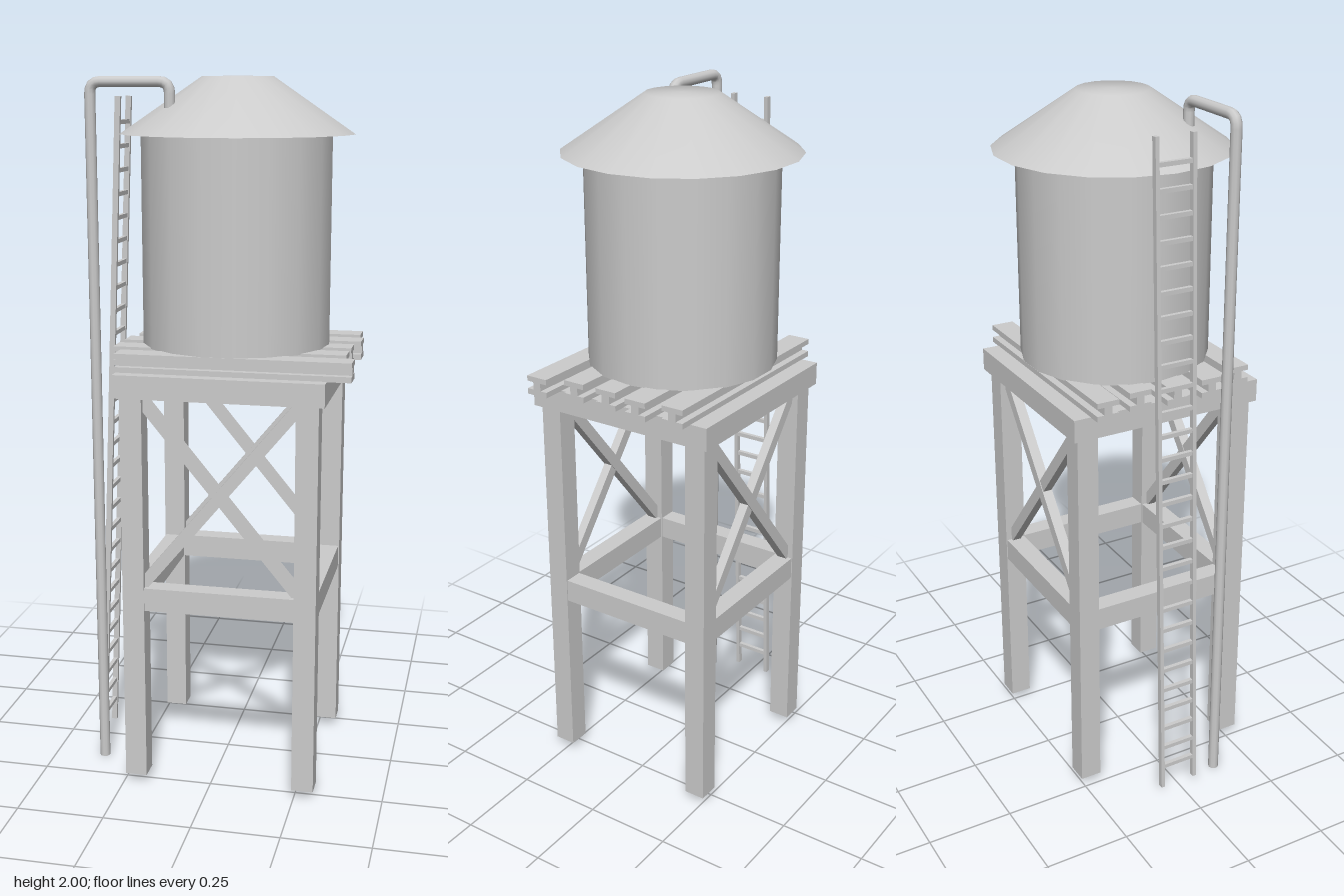
import * as THREE from 'three';

const grey = new THREE.MeshStandardMaterial({ color: 0xcccccc });
const greyDouble = new THREE.MeshStandardMaterial({ color: 0xcccccc, side: THREE.DoubleSide });

export function createModel() {
  const model = new THREE.Group();
  model.name = 'waterTower';

  const add = (name, geometry, material = grey, parent = model) => {
    const mesh = new THREE.Mesh(geometry, material);
    mesh.name = name;
    parent.add(mesh);
    return mesh;
  };
  // Box given by its extents on each axis
  const box = (name, x0, x1, y0, y1, z0, z1, parent) => {
    const mesh = add(name, new THREE.BoxGeometry(x1 - x0, y1 - y0, z1 - z0), grey, parent);
    mesh.position.set((x0 + x1) / 2, (y0 + y1) / 2, (z0 + z1) / 2);
    return mesh;
  };
  // Square bar leaning in the xy plane from a to b
  const bar = (name, a, b, z, width, depth, parent) => {
    const dx = b[0] - a[0], dy = b[1] - a[1];
    const mesh = add(name, new THREE.BoxGeometry(width, Math.hypot(dx, dy), depth), grey, parent);
    mesh.position.set((a[0] + b[0]) / 2, (a[1] + b[1]) / 2, z);
    mesh.rotation.z = -Math.atan2(dx, dy);
    return mesh;
  };

  // Tank
  const cx = 0.027, sides = 18;
  const tank = add('tank', new THREE.CylinderGeometry(0.266, 0.266, 0.58, sides));
  tank.position.set(cx - 0.002, 1.555, 0.002);
  tank.rotation.y = Math.PI / 2;

  // Roof: smooth cone with a flattened crown, closed underneath
  const profile = [[0.327, 1.845], [0.1, 1.998], [0, 2]].map(p => new THREE.Vector2(...p));
  const roof = add('roof', new THREE.LatheGeometry(profile, sides));
  roof.position.x = cx;
  roof.rotation.y = Math.PI / 2;
  const soffit = add('roofUnderside', new THREE.CircleGeometry(0.327, sides));
  soffit.position.set(cx, 1.845, 0);
  soffit.rotation.x = Math.PI / 2;

  // I-beams carrying the tank, unevenly laid: [z, start x, end x]
  const beams = [
    [-0.192, -0.295, 0.36], [-0.085, -0.278, 0.375], [0.022, -0.292, 0.36],
    [0.128, -0.295, 0.36], [0.233, -0.262, 0.388],
  ];
  for (const [z, x0, x1] of beams) {
    const beam = new THREE.Group();
    beam.name = 'platformBeam';
    model.add(beam);
    box('topFlange', x0, x1, 1.252, 1.267, z - 0.0325, z + 0.0325, beam);
    box('web', x0, x1, 1.228, 1.254, z - 0.012, z + 0.012, beam);
    box('bottomFlange', x0, x1, 1.214, 1.23, z - 0.0325, z + 0.0325, beam);
  }

  // Hollow frame under the beams
  const fx0 = -0.259, fx1 = 0.323, fz0 = -0.274, fz1 = 0.3, ft = 0.076;
  box('frameBack', fx0, fx1, 1.15, 1.215, fz0, fz0 + ft);
  box('frameFront', fx0, fx1, 1.15, 1.215, fz1 - ft, fz1);
  box('frameRight', fx0, fx0 + ft, 1.15, 1.215, fz0 + ft, fz1 - ft);
  box('frameLeft', fx1 - ft, fx1, 1.15, 1.215, fz0 + ft, fz1 - ft);

  // Legs
  const legX = [-0.213, 0.275], legZ = [-0.227, 0.255], h = 0.031;
  for (const x of legX)
    for (const z of legZ)
      box('leg', x - h, x + h, 0.026, 1.15, z - h, z + h);

  // Lower rails on all four sides, cross braces on front and back
  for (const z of legZ) {
    box('lowerRail', legX[0] + h, legX[1] - h, 0.535, 0.602, z - 0.028, z + 0.028);
    const a = legX[0] + h - 0.008, b = legX[1] - h + 0.008;
    bar('crossBrace', [a, 0.607], [b, 1.143], z, 0.033, 0.03);
    bar('crossBrace', [b, 0.607], [a, 1.143], z, 0.033, 0.026);
  }
  for (const x of legX)
    box('lowerRail', x - 0.028, x + 0.028, 0.535, 0.602, legZ[0] + h, legZ[1] - h);

  // Leaning ladder
  const ladder = new THREE.Group();
  ladder.name = 'ladder';
  model.add(ladder);
  const foot = [-0.382, 0.022], top = [-0.301, 1.945];
  for (const z of [-0.062, 0.046]) bar('ladderRail', foot, top, z, 0.016, 0.011, ladder);
  for (let i = 0; i < 28; i++) {
    const y = 0.093 + i * 0.066;
    const x = foot[0] + (top[0] - foot[0]) * (y - foot[1]) / (top[1] - foot[1]);
    box('rung', x - 0.006, x + 0.006, y - 0.006, y + 0.006, -0.062, 0.046, ladder);
  }

  // Pipe rising from the ground and bending over onto the roof
  const px = -0.353, pz = 0.137, py = 1.984, ex = -0.131, r = 0.03;
  const v = (x, y) => new THREE.Vector3(x, y, pz);
  const path = new THREE.CurvePath();
  path.add(new THREE.LineCurve3(v(px, 0), v(px, py - r)));
  path.add(new THREE.QuadraticBezierCurve3(v(px, py - r), v(px, py), v(px + r, py)));
  path.add(new THREE.LineCurve3(v(px + r, py), v(ex - r, py)));
  path.add(new THREE.QuadraticBezierCurve3(v(ex - r, py), v(ex, py), v(ex, py - r)));
  path.add(new THREE.LineCurve3(v(ex, py - r), v(ex, 1.915)));
  add('pipe', new THREE.TubeGeometry(path, 180, 0.015, 10), greyDouble);
  const cap = add('pipeEnd', new THREE.CircleGeometry(0.015, 10));
  cap.position.set(px, 0, pz);
  cap.rotation.x = Math.PI / 2;

  return model;
}
